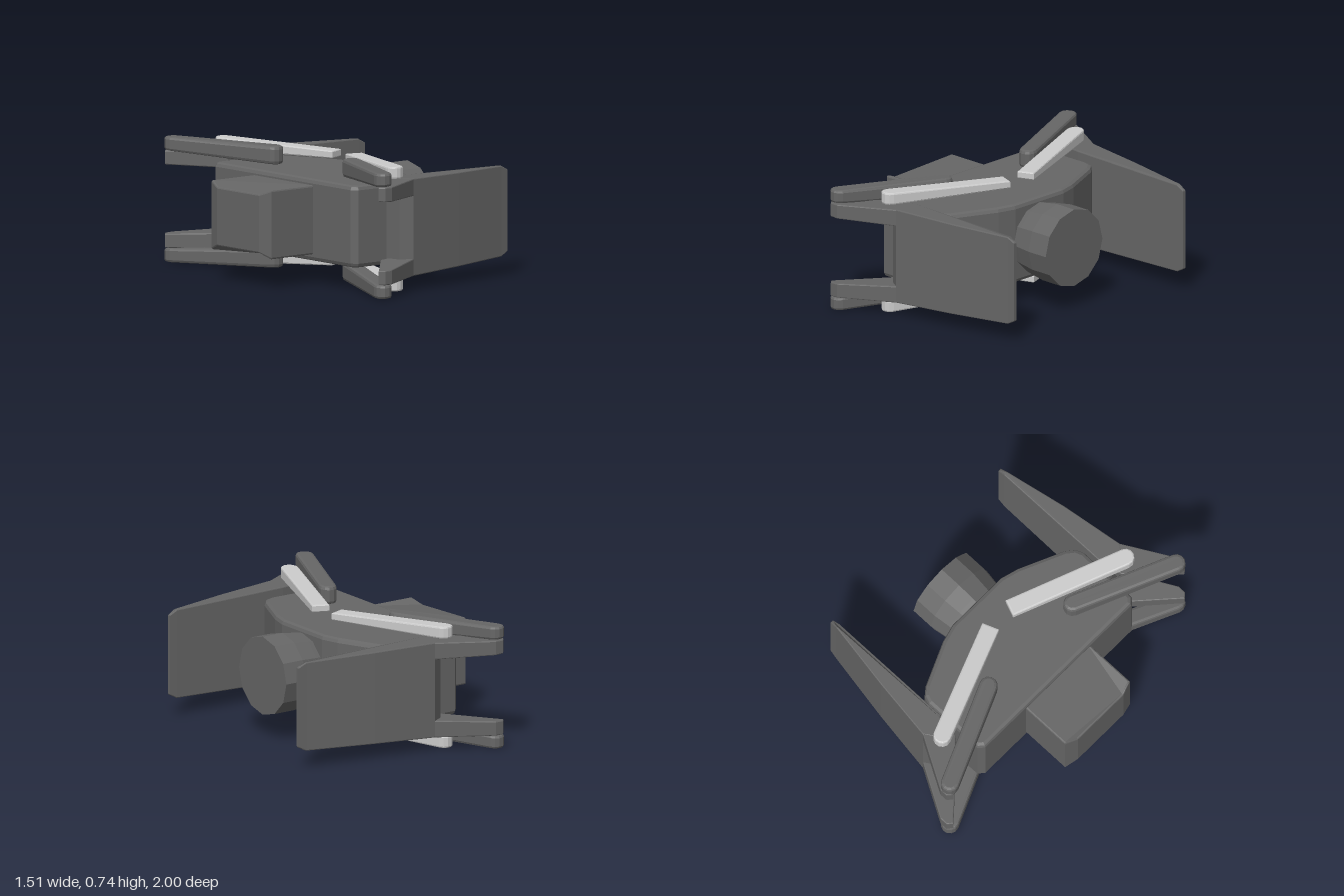
import * as THREE from 'three';

const dark = new THREE.MeshStandardMaterial({ color: 0x666666, flatShading: true });
const light = new THREE.MeshStandardMaterial({ color: 0xcccccc, flatShading: true });
const lerp = THREE.MathUtils.lerp;
const MIRROR_Y = 0.745;

// Bevelled slab over an [x, z] outline, between two heights that may vary with x and z
function slab(name, outline, bottom, top, bevel, height, material = dark) {
  const shape = new THREE.Shape(outline.map(([x, z]) => new THREE.Vector2(x, z)));
  const t = bevel / height;
  const geo = new THREE.ExtrudeGeometry(shape, {
    depth: 1 - 2 * t, bevelThickness: t, bevelSize: bevel, bevelOffset: -bevel, bevelSegments: 2,
  });
  geo.rotateX(Math.PI / 2);
  const p = geo.attributes.position;
  for (let i = 0; i < p.count; i++) {
    const x = p.getX(i), z = p.getZ(i);
    p.setY(i, lerp(bottom(x, z), top(x, z), p.getY(i) + 1 - t));
  }
  geo.computeVertexNormals();
  const mesh = new THREE.Mesh(geo, material);
  mesh.name = name;
  return mesh;
}

// Outline of a bar from a to b, with a round start and a round or square end
function barOutline(a, b, r, roundEnd) {
  const dir = Math.atan2(b[1] - a[1], b[0] - a[0]);
  const pts = [];
  const arc = (c, start, n) => {
    for (let i = 0; i <= n; i++) {
      const ang = start + (Math.PI * i) / n;
      pts.push([c[0] + r * Math.cos(ang), c[1] + r * Math.sin(ang)]);
    }
  };
  arc(a, dir + Math.PI / 2, 6);
  arc(b, dir - Math.PI / 2, roundEnd ? 6 : 1);
  return pts;
}

export function createModel() {
  const model = new THREE.Group();

  // Main body, narrowing towards the nozzle
  const half = [[-0.42, 0.61], [-0.39, 0.645], [0, 0.65], [0.05, 0.63], [0.09, 0.58], [0.21, 0.31], [0.24, 0.2]];
  const bodyOutline = [...half, ...half.map(([x, z]) => [x, -z]).reverse()];
  model.add(slab('body', bodyOutline, () => 0.14, () => 0.62, 0.025, 0.48));

  // Block at the rear of the body
  const blockInset = (x) => (x < -0.74 ? 0.03 : 0);
  model.add(slab('rearBlock',
    [[-0.4, 0.27], [-0.735, 0.27], [-0.76, 0.19], [-0.76, -0.19], [-0.735, -0.27], [-0.4, -0.27]],
    (x) => 0.18 + blockInset(x), (x) => 0.585 - blockInset(x), 0.01, 0.4));

  // Twelve-sided nozzle along x
  const profile = [[0, 0.18], [0.205, 0.2], [0.218, 0.27], [0.235, 0.38], [0.235, 0.52], [0, 0.52]];
  const nozzleGeo = new THREE.LatheGeometry(profile.map(([r, y]) => new THREE.Vector2(r, y)), 12);
  nozzleGeo.rotateZ(-Math.PI / 2);
  const nozzle = new THREE.Mesh(nozzleGeo, dark);
  nozzle.name = 'nozzle';
  nozzle.position.y = 0.378;
  model.add(nozzle);

  for (const s of [1, -1]) {
    const side = new THREE.Group();
    side.name = s > 0 ? 'frontSide' : 'backSide';
    model.add(side);
    const flip = (pts) => pts.map(([x, z]) => [x, z * s]);

    // Tapering side plate
    const tip = s > 0 ? 0.705 : 0.755;
    const along = (x) => (x + 0.19) / (tip + 0.19);
    const corner = (x) => 0.025 * THREE.MathUtils.clamp((x - tip + 0.05) / 0.05, 0, 1);
    side.add(slab('sidePlate',
      flip([[-0.2, 0.67], [-0.19, 0.775], [-0.12, 0.82], [0.27, 0.765], [tip - 0.05, 0.69], [tip, 0.684],
        [tip, 0.664], [tip - 0.05, 0.662], [-0.1, 0.662]]),
      (x) => lerp(0.085, 0.115, along(x)) + corner(x),
      (x) => lerp(0.66, 0.645, along(x)) - corner(x), 0.006, 0.55));

    // Upper and lower copies of the bracket arm and the two bars
    for (const up of [true, false]) {
      const add = (name, pts, lo, hi, bevel, height, material) => side.add(up
        ? slab(name, flip(pts), lo, hi, bevel, height, material)
        : slab(name, flip(pts), (x, z) => MIRROR_Y - hi(x, z), (x, z) => MIRROR_Y - lo(x, z), bevel, height, material));
      const prefix = up ? 'upper' : 'lower';

      add(prefix + 'BracketArm',
        [[-0.505, 0.965], [-0.48, 0.995], [-0.43, 0.995], [-0.12, 0.82], [-0.1, 0.68], [-0.26, 0.69]],
        (x) => lerp(0.575, 0.555, (x + 0.5) / 0.4), () => 0.658, 0.006, 0.09);

      add(prefix + 'DarkBar', barOutline([-0.458, 0.945], [-0.195, 0.35], 0.053, true),
        (x, z) => lerp(0.62, 0.65, (Math.abs(z) - 0.3) / 0.5),
        (x, z) => Math.min(0.74, lerp(0.728, 0.74, (Math.abs(z) - 0.3) / 0.4)), 0.018, 0.1);

      add(prefix + 'LightBar', barOutline([-0.222, 0.765], [0.05, 0.078], 0.052, false),
        () => 0.665, (x, z) => lerp(0.708, 0.738, (Math.abs(z) - 0.06) / 0.75), 0.01, 0.07, light);
    }
  }
  return model;
}
